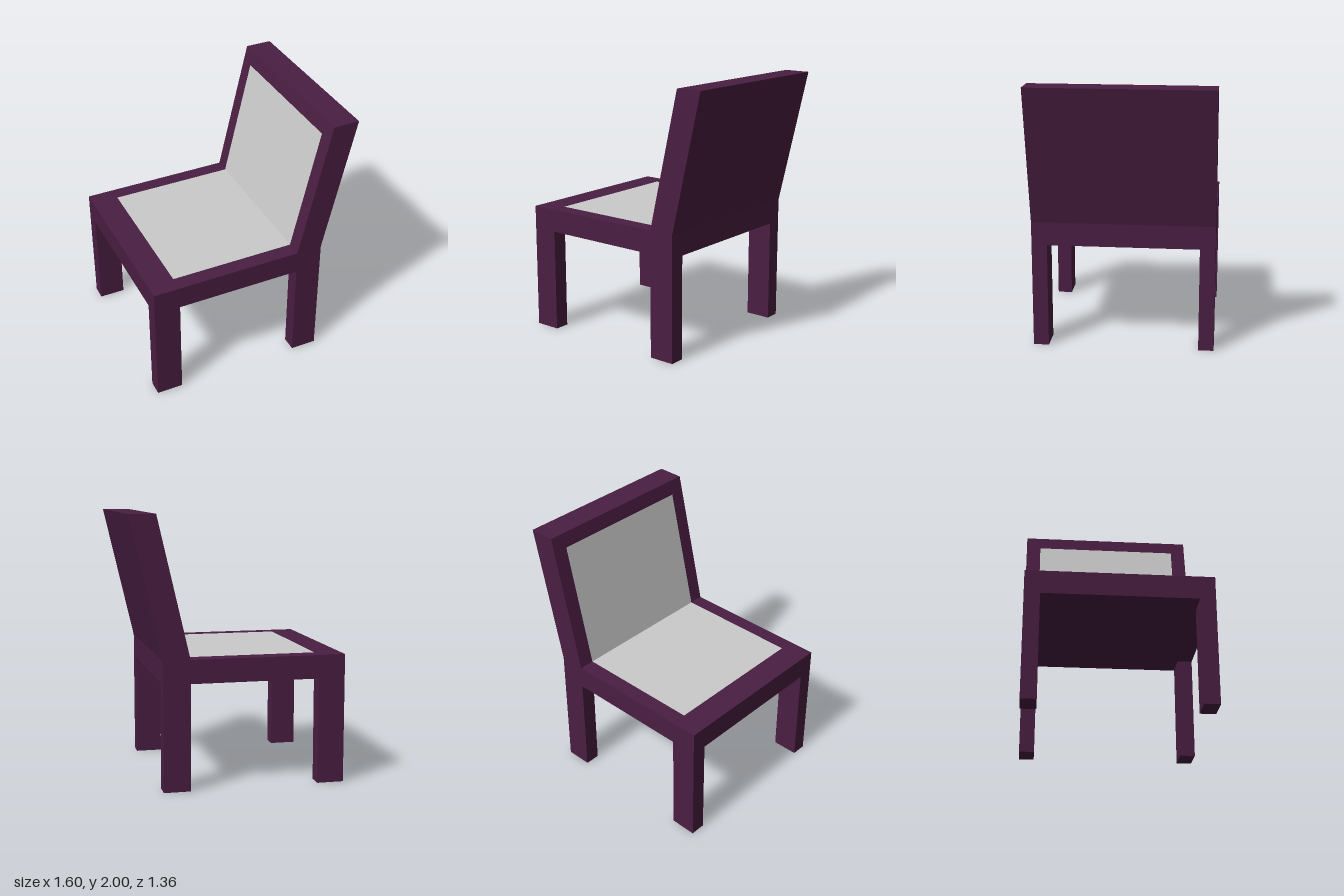
import * as THREE from 'three';

const HALF_DEPTH = 0.68;
const SEAT_TOP = 0.965;
const SEAT_BOTTOM = 0.79;

export function createModel() {
  const chair = new THREE.Group();
  chair.name = 'chair';
  const wood = new THREE.MeshStandardMaterial({ color: 0x4a1e42, flatShading: true });
  const cushion = new THREE.MeshStandardMaterial({ color: 0xcccccc, flatShading: true });

  const add = (name, geometry, material) => {
    const mesh = new THREE.Mesh(geometry, material);
    mesh.name = name;
    chair.add(mesh);
    return mesh;
  };

  // Seat slab and leaning backrest share one side profile
  const profile = new THREE.Shape([
    [-0.8, SEAT_BOTTOM], [0.56, SEAT_BOTTOM], [0.56, SEAT_TOP], [0.8, 2],
    [0.6, 2], [0.36, SEAT_TOP], [-0.8, SEAT_TOP],
  ].map(([x, y]) => new THREE.Vector2(x, y)));
  const body = new THREE.ExtrudeGeometry(profile, { depth: 2 * HALF_DEPTH, bevelEnabled: false });
  body.translate(0, 0, -HALF_DEPTH);
  add('seatAndBackrest', body, wood);

  // Four square-cut legs, flush with the corners of the seat
  const legDepth = 0.115;
  for (const [end, x] of [['front', -0.7], ['back', 0.46]]) {
    for (const [side, s] of [['Left', 1], ['Right', -1]]) {
      const leg = add(`${end}${side}Leg`, new THREE.BoxGeometry(0.2, SEAT_BOTTOM, legDepth), wood);
      leg.position.set(x, SEAT_BOTTOM / 2, s * (HALF_DEPTH - legDepth / 2));
    }
  }

  // Flush inset panel running from (x0, y0) to (x1, y1) in side view
  const addPanel = (name, x0, y0, x1, y1) => {
    const angle = Math.atan2(y1 - y0, x1 - x0);
    const geometry = new THREE.PlaneGeometry(Math.hypot(x1 - x0, y1 - y0), 1.13);
    geometry.rotateX(-Math.PI / 2).translate(0, 0.002, 0).rotateZ(angle);
    add(name, geometry, cushion).position.set((x0 + x1) / 2, (y0 + y1) / 2, 0);
  };
  addPanel('seatPanel', -0.6, SEAT_TOP, 0.36, SEAT_TOP);
  addPanel('backrestPanel', 0.36, SEAT_TOP, 0.575, 1.892);

  return chair;
}
